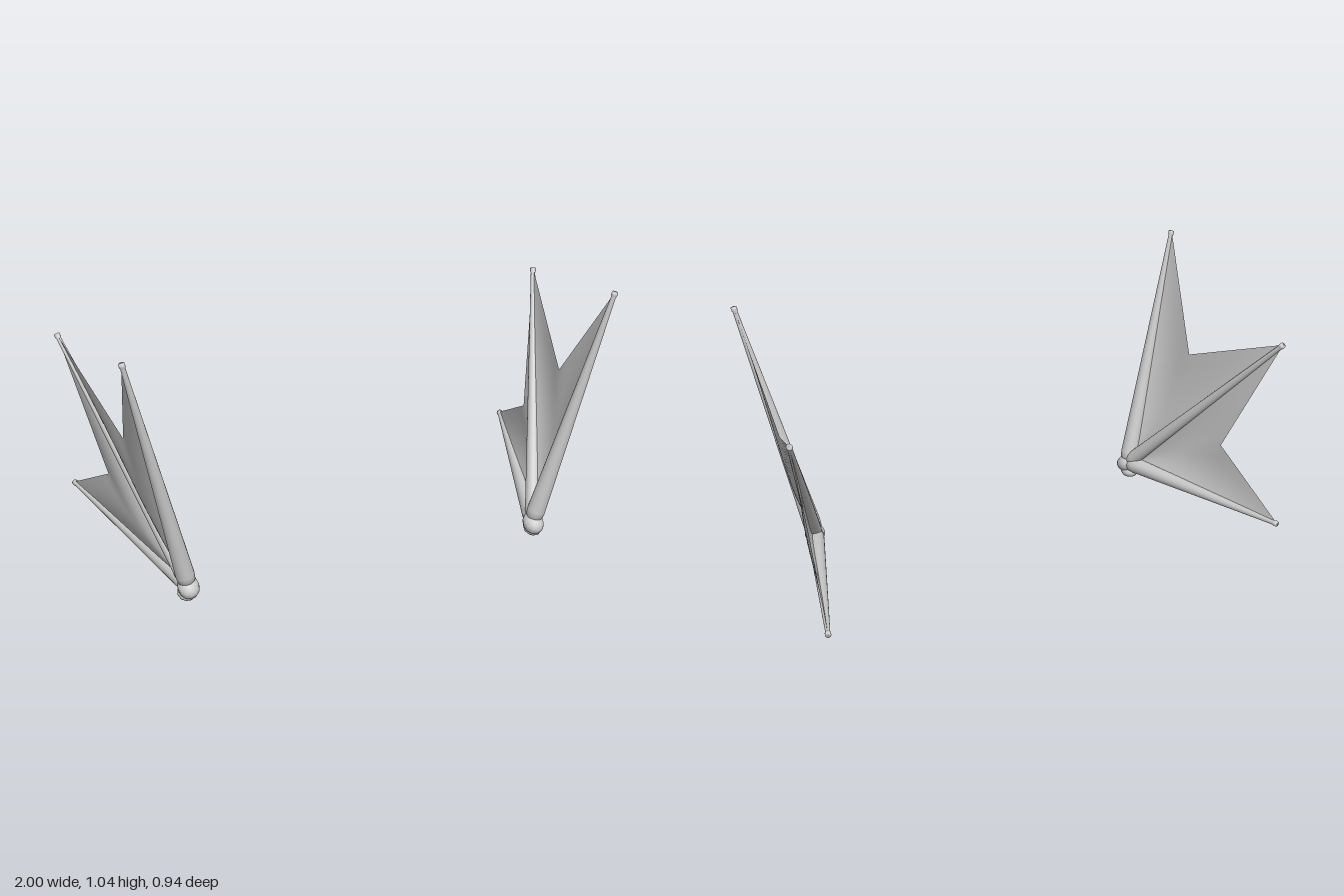
import * as THREE from 'three';

const material = new THREE.MeshStandardMaterial({ color: 0xcccccc });
const membraneMaterial = new THREE.MeshStandardMaterial({ color: 0xcccccc, side: THREE.DoubleSide });

// Tapered rod with a rounded root and a small knob at its tip
function makeSpine(name, root, tip, radius) {
  const length = root.distanceTo(tip);
  const profile = [
    [0, 0], [radius * 0.6, 0.008], [radius * 0.95, 0.026], [radius, 0.05],
    [0.009, length - 0.022], [0.0115, length - 0.014], [0.0115, length - 0.002], [0, length],
  ].map(([r, y]) => new THREE.Vector2(r, y));
  const spine = new THREE.Mesh(new THREE.LatheGeometry(profile, 16), material);
  spine.name = name;
  spine.position.copy(root);
  const direction = tip.clone().sub(root).normalize();
  spine.quaternion.setFromUnitVectors(new THREE.Vector3(0, 1, 0), direction);
  return spine;
}

// Web fanning from the root to a notched edge, billowing gently outward
function makeMembrane(name, root, tipA, notch, tipB, side) {
  const across = 16, along = 12;
  const positions = [], indices = [];
  for (let i = 0; i <= across; i++) {
    const u = i / across;
    const edge = u < 0.5
      ? tipA.clone().lerp(notch, u * 2)
      : notch.clone().lerp(tipB, u * 2 - 1);
    for (let j = 0; j <= along; j++) {
      const v = j / along;
      const p = root.clone().lerp(edge, v);
      p.x += side * 0.025 * Math.sin(Math.PI * u) * Math.sin(Math.PI * v);
      positions.push(p.x, p.y, p.z);
      if (i < across && j < along) {
        const a = i * (along + 1) + j, b = a + along + 1;
        if (side > 0) indices.push(a, b, a + 1, b, b + 1, a + 1);
        else indices.push(a, a + 1, b, b, a + 1, b + 1);
      }
    }
  }
  const geometry = new THREE.BufferGeometry();
  geometry.setAttribute('position', new THREE.Float32BufferAttribute(positions, 3));
  geometry.setIndex(indices);
  geometry.computeVertexNormals();
  const membrane = new THREE.Mesh(geometry, membraneMaterial);
  membrane.name = name;
  return membrane;
}

function makeWing(name, side) {
  const wing = new THREE.Group();
  wing.name = name;
  const point = (x, y, z) => new THREE.Vector3(side * x, y, z);

  const root = point(0.70, 0.065, 0.345);
  const front = point(0.932, 1.037, 0.46);
  const middle = point(0.99, 0.84, -0.328);
  const rear = point(0.932, 0.135, -0.465);

  // Three spines
  wing.add(
    makeSpine('frontSpine', root, front, 0.036),
    makeSpine('middleSpine', root, middle, 0.029),
    makeSpine('rearSpine', root, rear, 0.033),
  );

  // Two notched webs between the spines
  wing.add(
    makeMembrane('upperMembrane', root, front, point(0.872, 0.61, 0.17), middle, side),
    makeMembrane('lowerMembrane', root, middle, point(0.87, 0.33, -0.115), rear, side),
  );

  // Rounded joint where the spines meet, with a small foot beneath
  const joint = new THREE.Mesh(new THREE.SphereGeometry(1, 12, 8), material);
  joint.name = 'joint';
  joint.scale.set(0.041, 0.036, 0.049);
  joint.position.copy(point(0.70, 0.058, 0.352));
  joint.rotation.x = 0.5;
  const foot = new THREE.Mesh(new THREE.SphereGeometry(1, 10, 8), material);
  foot.name = 'jointFoot';
  foot.scale.set(0.034, 0.023, 0.042);
  foot.position.copy(point(0.705, 0.026, 0.336));
  foot.rotation.x = 0.15;
  wing.add(joint, foot);
  return wing;
}

export function createModel() {
  const model = new THREE.Group();
  model.name = 'wingPair';
  model.add(makeWing('leftWing', 1), makeWing('rightWing', -1));
  return model;
}
